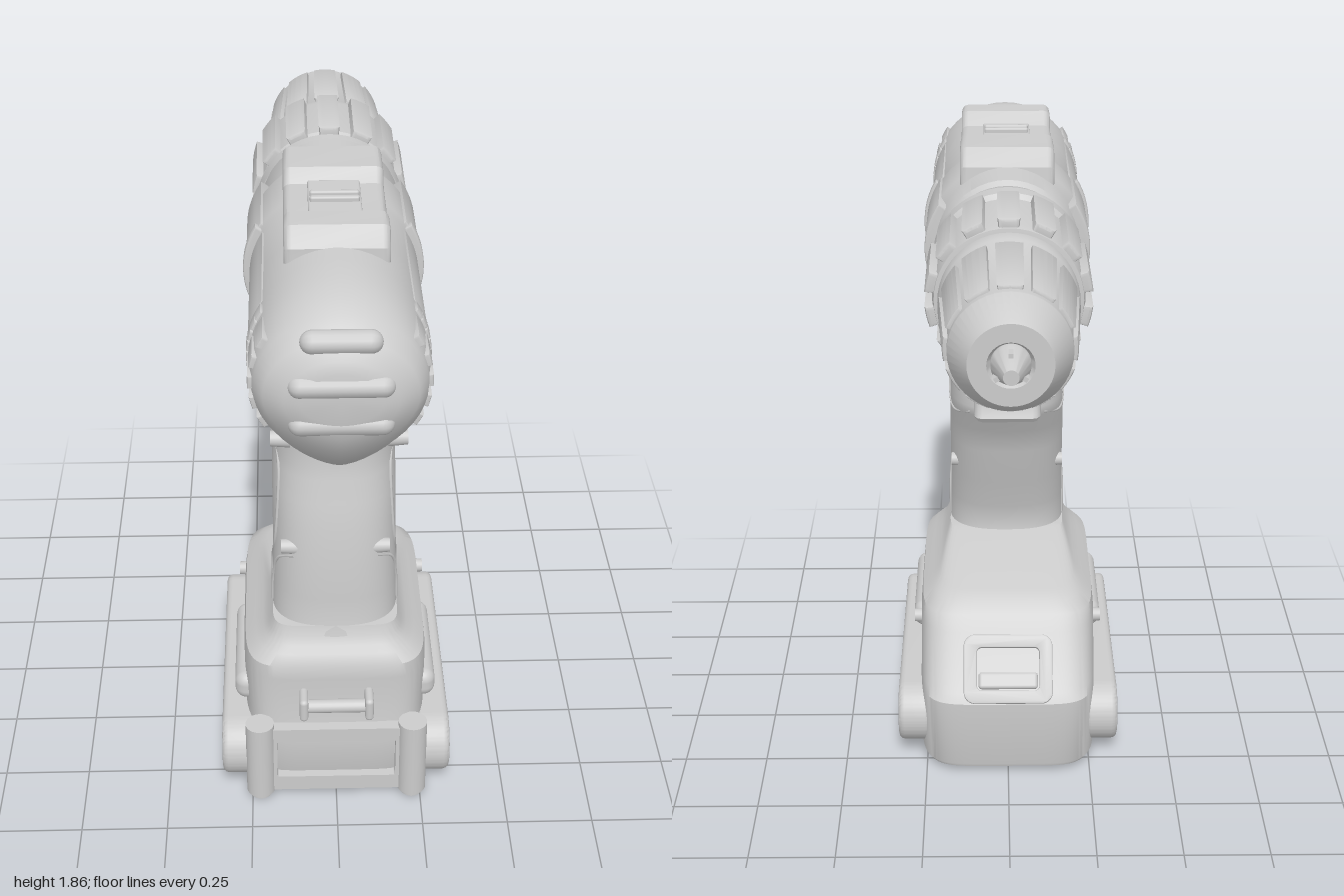
import * as THREE from 'three';
import { toCreasedNormals } from 'three/addons/utils/BufferGeometryUtils.js';
import { RoundedBoxGeometry } from 'three/addons/geometries/RoundedBoxGeometry.js';

const AXIS = 1.58; // height of the motor and chuck axis
const mat = new THREE.MeshStandardMaterial({ color: 0xcccccc });
const spow = (v, p) => Math.sign(v) * Math.pow(Math.abs(v), p);

// Skin closed rings of points into a solid with end caps, faces outward
function loft(rings, crease = 0.6) {
  const n = rings[0].length, pos = [], idx = [];
  rings.forEach(r => r.forEach(p => pos.push(...p)));
  for (let i = 0; i < rings.length - 1; i++) for (let j = 0; j < n; j++) {
    const a = i * n + j, b = i * n + (j + 1) % n;
    idx.push(a, b, b + n, a, b + n, a + n);
  }
  [0, rings.length - 1].forEach((k, end) => {
    const c = pos.length / 3;
    pos.push(...[0, 1, 2].map(d => rings[k].reduce((s, p) => s + p[d], 0) / n));
    for (let j = 0; j < n; j++) {
      const a = k * n + j, b = k * n + (j + 1) % n;
      end ? idx.push(a, b, c) : idx.push(b, a, c);
    }
  });
  let vol = 0;
  const v = i => new THREE.Vector3().fromArray(pos, idx[i] * 3);
  const mid = v(0);
  for (let i = 0; i < idx.length; i += 3)
    vol += v(i).sub(mid).dot(v(i + 1).sub(mid).cross(v(i + 2).sub(mid)));
  if (vol < 0) idx.reverse();
  const g = new THREE.BufferGeometry();
  g.setAttribute('position', new THREE.Float32BufferAttribute(pos, 3));
  g.setIndex(idx);
  return toCreasedNormals(g, crease);
}

// Horizontal superellipse sections [y, zFront, zBack, halfWidth]
const loftY = (secs, e, n = 64) => loft(secs.map(([y, z0, z1, hx]) =>
  Array.from({ length: n }, (_, i) => {
    const t = (i / n) * Math.PI * 2;
    return [hx * spow(Math.cos(t), 2 / e), y, (z0 + z1) / 2 + (z1 - z0) / 2 * spow(Math.sin(t), 2 / e)];
  })));

// Extrude a shape drawn in (z, y) across x, centred, with a bevel
function sideExtrude(shape, width, bevel) {
  const d = width - 2 * bevel;
  const g = new THREE.ExtrudeGeometry(shape, { depth: d, bevelSize: bevel, bevelThickness: bevel, bevelOffset: -bevel, bevelSegments: 3, curveSegments: 12 });
  return toCreasedNormals(g.translate(0, 0, -d / 2).rotateY(-Math.PI / 2), 0.6);
}

// Rounded rectangle outline
function roundRect(Type, x0, y0, x1, y1, r) {
  const s = new Type();
  s.absarc(x1 - r, y0 + r, r, -Math.PI / 2, 0);
  s.absarc(x1 - r, y1 - r, r, 0, Math.PI / 2);
  s.absarc(x0 + r, y1 - r, r, Math.PI / 2, Math.PI);
  s.absarc(x0 + r, y0 + r, r, Math.PI, Math.PI * 1.5);
  s.closePath();
  return s;
}

// Curved bar hugging the motor axis, from z0 to z1
function arcBar(z0, z1, r0, r1, a, half, bevel = 0.006) {
  const s = new THREE.Shape();
  s.absarc(0, 0, r1 - bevel, a - half, a + half, false);
  s.absarc(0, 0, r0, a + half, a - half, true);
  const g = new THREE.ExtrudeGeometry(s, { depth: z1 - z0 - 2 * bevel, bevelSize: bevel, bevelThickness: bevel, bevelSegments: 2, curveSegments: 8 });
  return toCreasedNormals(g.translate(0, 0, z0 + bevel), 0.6);
}

// Turned part along the motor axis from [radius, z] pairs running towards the tip
const turned = pts => toCreasedNormals(
  new THREE.LatheGeometry(pts.map(([r, z]) => new THREE.Vector2(r, -z)), 48).rotateX(-Math.PI / 2), 0.5);

export function createModel() {
  const root = new THREE.Group();
  const add = (name, geo, x = 0, y = 0, z = 0, parent = root) => {
    const m = new THREE.Mesh(geo, mat);
    m.name = name;
    m.position.set(x, y, z);
    parent.add(m);
    return m;
  };

  // Motor housing: round above, deeper and narrower below; [z, halfWidth, top, bottom]
  const housing = [
    [0.985, 0.1, 1.66, 1.52], [0.975, 0.14, 1.69, 1.475], [0.945, 0.19, 1.735, 1.42], [0.9, 0.214, 1.772, 1.365],
    [0.84, 0.222, 1.798, 1.315], [0.76, 0.224, 1.81, 1.285], [0.68, 0.222, 1.813, 1.275], [0.5, 0.22, 1.813, 1.27],
    [0.27, 0.22, 1.81, 1.27], [0.25, 0.232, 1.81, 1.27], [0.06, 0.232, 1.81, 1.27], [0.02, 0.208, 1.81, 1.28],
    [-0.1, 0.205, 1.808, 1.33], [-0.115, 0.2, 1.795, 1.36]];
  add('motorHousing', loft(housing.map(([z, w, top, bot]) => Array.from({ length: 48 }, (_, i) => {
    const t = (i / 48) * Math.PI * 2, c = Math.cos(t), s = Math.sin(t);
    return [w * (s < 0 ? spow(c, 1.3) : c), AXIS + s * (s < 0 ? AXIS - bot : top - AXIS), z];
  }))));

  // Rear cap grip ribs
  [[1.725, 0.07, 0.94], [1.62, 0.1, 0.967], [1.51, 0.1, 0.957]].forEach(([y, h, z]) =>
    add('rearCapRib', new THREE.CapsuleGeometry(0.03, h * 2, 6, 12).rotateZ(Math.PI / 2), 0, y, z));

  // Side panels, gearbox pads and cooling vents
  for (const a of [0, Math.PI]) {
    add('sidePanel', arcBar(0.285, 0.685, 0.15, 0.228, a, 0.55), 0, AXIS);
    add('gearboxPad', arcBar(-0.02, 0.255, 0.15, 0.238, a, 0.58), 0, AXIS);
    add('panelDivider', arcBar(0.235, 0.265, 0.15, 0.246, a, 0.52), 0, AXIS);
    for (let i = -4; i <= 4; i++) {
      add('ventTooth', arcBar(0.7, 0.75, 0.15, 0.232, a + i * 0.13, 0.035), 0, AXIS);
      if (i % 2 === 0) add('rearVentBar', arcBar(0.77, 0.88, 0.15, 0.228, a + i * 0.13, 0.05), 0, AXIS);
    }
  }

  // Top saddle with the speed switch
  const saddle = new THREE.Shape([[0.62, 1.74], [0.615, 1.81], [0.57, 1.856], [0.49, 1.856], [0.45, 1.82],
    [0.24, 1.82], [0.21, 1.856], [0.07, 1.856], [0.02, 1.81], [0.01, 1.74]].map(p => new THREE.Vector2(...p)));
  add('topSaddle', sideExtrude(saddle, 0.27, 0.02));
  add('switchPlate', new RoundedBoxGeometry(0.14, 0.02, 0.21, 2, 0.006), 0, 1.82, 0.34);
  for (const z of [0.335, 0.37]) add('speedSwitch', new RoundedBoxGeometry(0.13, 0.02, 0.018, 2, 0.006), 0, 1.834, z);

  // Clutch ring
  add('clutchRing', turned([[0, -0.09], [0.212, -0.09], [0.212, -0.17], [0.198, -0.18], [0.198, -0.2], [0.205, -0.21],
    [0.205, -0.43], [0.2, -0.455], [0.17, -0.46], [0, -0.46]]), 0, AXIS);
  for (let i = 0; i < 14; i++)
    add('clutchRib', arcBar(-0.45, -0.19, 0.18, 0.226, Math.PI / 2 + i * Math.PI / 7, 0.09, 0.01), 0, AXIS);

  // Chuck with raised grip pads that follow its taper
  add('chuck', turned([[0, -0.45], [0.188, -0.45], [0.19, -0.465], [0.186, -0.5], [0.176, -0.52], [0.158, -0.82], [0.158, -0.83],
    [0.115, -0.91], [0.108, -0.92], [0.06, -0.92], [0.05, -0.9], [0, -0.9]]), 0, AXIS);
  for (let i = 0; i < 12; i++) {
    const g = arcBar(-0.81, -0.52, 0.15, 0.188, i * Math.PI / 6, 0.155, 0.008), p = g.attributes.position;
    for (let k = 0; k < p.count; k++) {
      const f = 1 - (-0.52 - p.getZ(k)) * 0.33;
      p.setXY(k, p.getX(k) * f, p.getY(k) * f);
    }
    add('chuckGripPad', g, 0, AXIS);
  }
  add('chuckJaws', turned([[0.05, -0.89], [0.05, -0.92], [0.02, -1], [0, -1]]), 0, AXIS);
  for (let i = 0; i < 3; i++)
    add('jawEdge', new THREE.BoxGeometry(0.012, 0.05, 0.06).translate(0, 0.022, 0), 0, AXIS, -0.93)
      .rotation.z = i * Math.PI * 2 / 3;

  // Handle rising into the trigger housing
  const grip = [
    [0.5, 0.19, 0.54, 0.19], [0.56, 0.215, 0.522, 0.182], [0.65, 0.2, 0.52, 0.18], [0.75, 0.165, 0.512, 0.178], [0.87, 0.135, 0.498, 0.178],
    [0.95, 0.11, 0.48, 0.178], [1.02, 0.055, 0.463, 0.176], [1.05, 0.045, 0.457, 0.175], [1.1, 0.06, 0.452, 0.173], [1.22, 0.05, 0.455, 0.172],
    [1.245, -0.06, 0.46, 0.173], [1.27, -0.13, 0.47, 0.175], [1.33, -0.155, 0.49, 0.178], [1.4, -0.165, 0.5, 0.182], [1.5, -0.1, 0.48, 0.18]];
  add('handle', loftY(grip, 2.5));
  const gripX = (z, y) => {
    const i = Math.max(1, grip.findIndex(s => s[0] >= y)), a = grip[i - 1], b = grip[i];
    const [, z0, z1, hx] = a.map((v, k) => v + (b[k] - v) * (y - a[0]) / (b[0] - a[0]));
    const u = Math.min(1, Math.abs((z - (z0 + z1) / 2) / ((z1 - z0) / 2)));
    return hx * Math.pow(1 - Math.pow(u, 2.5), 0.4);
  };

  // Trigger with a concave finger face
  const trig = new THREE.Shape();
  trig.moveTo(0.1, 1.27);
  trig.lineTo(-0.055, 1.27);
  trig.quadraticCurveTo(-0.06, 1.22, -0.03, 1.18);
  trig.quadraticCurveTo(-0.015, 1.12, -0.045, 1.06);
  trig.lineTo(-0.035, 1.045);
  trig.lineTo(0.1, 1.045);
  add('trigger', sideExtrude(trig, 0.2, 0.025));

  // Grip seams, screws and direction button on both sides
  const seams = [
    [[0.25, 1.19], [0.27, 1.1], [0.37, 1.03], [0.405, 0.9], [0.4, 0.78], [0.34, 0.68], [0.33, 0.57]],
    [[0.48, 0.78], [0.43, 0.74], [0.4, 0.66], [0.395, 0.57]],
    [[0.08, 1.03], [0.16, 1.01], [0.24, 1.04], [0.26, 1.12]]];
  for (const s of [1, -1]) {
    for (const pts of seams) {
      const curve = new THREE.CatmullRomCurve3(pts.map(([z, y]) => new THREE.Vector3(s * gripX(z, y), y, z)));
      add('gripSeam', new THREE.TubeGeometry(curve, 32, 0.005, 6));
    }
    for (const [z, y, x] of [[0.78, 1.36, 0.15], [-0.015, 1.33, 0.165], [0.46, 0.8, 0.13], [0.24, 0.8, 0.15], [-0.02, 0.38, 0.265]])
      add('screw', new THREE.CylinderGeometry(0.02, 0.024, 0.05, 20).rotateZ(-s * Math.PI / 2), s * x, y, z);
    add('directionButton', new RoundedBoxGeometry(0.04, 0.04, 0.12, 3, 0.018), s * 0.172, 1.325, 0.13);
  }

  // Battery base flaring out below the handle
  add('batteryBase', loftY([[0.02, -0.325, 0.585, 0.262], [0.03, -0.328, 0.59, 0.27], [0.24, -0.325, 0.585, 0.27], [0.26, -0.295, 0.58, 0.27],
    [0.41, -0.185, 0.58, 0.27], [0.455, -0.155, 0.578, 0.265], [0.485, -0.125, 0.56, 0.235], [0.505, -0.08, 0.545, 0.212],
    [0.53, 0.12, 0.53, 0.195], [0.56, 0.215, 0.522, 0.182]], 6, 96));

  // Release latch set into the sloping nose
  const latch = new THREE.Group();
  latch.name = 'releaseLatch';
  latch.position.set(0, 0.32, -0.252);
  latch.lookAt(0, 0.92, -1.052);
  root.add(latch);
  const rim = roundRect(THREE.Shape, -0.13, -0.1, 0.13, 0.1, 0.03);
  rim.holes.push(roundRect(THREE.Path, -0.1, -0.07, 0.1, 0.07, 0.02));
  add('latchRim', toCreasedNormals(new THREE.ExtrudeGeometry(rim, { depth: 0.02, bevelSize: 0.005, bevelThickness: 0.005, bevelSegments: 2 }), 0.6), 0, 0, -0.008, latch);
  add('latchButton', new RoundedBoxGeometry(0.18, 0.05, 0.03, 3, 0.01), 0, -0.035, 0.002, latch);

  // Side skids, rails and rear posts
  for (const s of [1, -1]) {
    const skid = roundRect(THREE.Shape, -0.26, 0.035, 0.61, 0.225, 0.094);
    skid.holes.push(roundRect(THREE.Path, -0.205, 0.078, 0.56, 0.182, 0.05));
    add('sideSkid', sideExtrude(skid, 0.1, 0.018), s * 0.288);
    add('skidInset', sideExtrude(roundRect(THREE.Shape, -0.22, 0.06, 0.58, 0.2, 0.069), 0.08, 0.01), s * 0.275);
    add('sideRail', new RoundedBoxGeometry(0.08, 0.09, 0.39, 4, 0.035), s * 0.258, 0.303, 0.297);
    add('rearPost', new THREE.CylinderGeometry(0.042, 0.042, 0.25, 24), s * 0.225, 0.14, 0.6);
    add('postFoot', new THREE.CylinderGeometry(0.032, 0.032, 0.03, 24), s * 0.225, 0.015, 0.6);
    add('clipLug', new RoundedBoxGeometry(0.025, 0.075, 0.08, 3, 0.012), s * 0.095, 0.34, 0.605);
  }

  // Rear panel frame and belt clip bar
  const frame = roundRect(THREE.Shape, -0.21, 0.02, 0.21, 0.25, 0.01);
  frame.holes.push(roundRect(THREE.Path, -0.175, 0.07, 0.175, 0.205, 0.005));
  add('rearFrame', new THREE.ExtrudeGeometry(frame, { depth: 0.035, bevelEnabled: false }), 0, 0, 0.58);
  add('clipBar', new THREE.CylinderGeometry(0.02, 0.02, 0.19, 20).rotateZ(Math.PI / 2), 0, 0.34, 0.615);
  return root;
}
